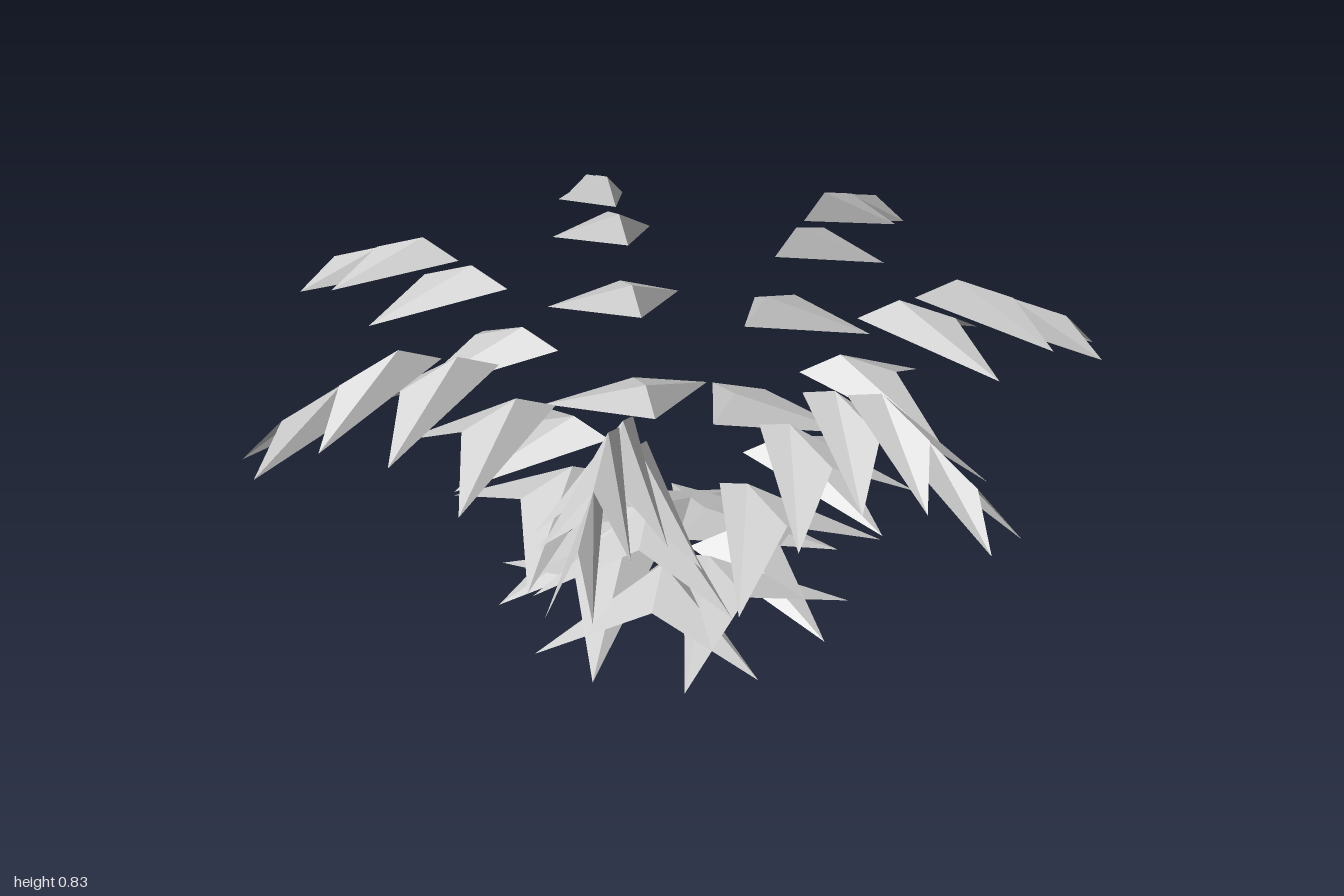
import * as THREE from 'three';

const ARMS = 7;
const CENTRE_X = -0.05;
const RIDGE_HEIGHTS = [0.145, 0.42, 0.64, 0.78, 0.83, 0.78]; // arch of each arm, inside to outside
const FIRST_RADIUS = 0.135;
const RADIUS_STEP = 0.13;
const HALF_WIDTH_STEP = 0.045;

// Folded swallow-tail leaf pointing along +x, with its ridge peak at the origin
function chevronGeometry(halfWidth) {
  const inner = [-0.095, -0.045, 0];
  const peak = [0, 0, 0];
  const notch = [0.135, -0.05, 0];
  const left = [0.22, -0.145, -halfWidth];
  const right = [0.22, -0.145, halfWidth];
  const corners = [
    inner, peak, left, peak, notch, left,
    inner, right, peak, peak, right, notch,
  ];
  const geometry = new THREE.BufferGeometry();
  geometry.setAttribute('position', new THREE.Float32BufferAttribute(corners.flat(), 3));
  geometry.computeVertexNormals();
  return geometry;
}

export function createModel() {
  const material = new THREE.MeshStandardMaterial({
    color: 0xcccccc, flatShading: true, side: THREE.DoubleSide,
  });
  const model = new THREE.Group();
  model.name = 'leafRosette';
  model.position.x = CENTRE_X;

  // Leaves narrow steadily towards the end of the arm
  const leaves = RIDGE_HEIGHTS.map((_, i) =>
    chevronGeometry(HALF_WIDTH_STEP * (RIDGE_HEIGHTS.length - i)));

  for (let a = 0; a < ARMS; a++) {
    const arm = new THREE.Group();
    arm.name = `arm${a + 1}`;
    arm.rotation.y = (a / ARMS) * Math.PI * 2;
    RIDGE_HEIGHTS.forEach((y, i) => {
      const leaf = new THREE.Mesh(leaves[i], material);
      leaf.name = `leaf${i + 1}`;
      leaf.position.set(FIRST_RADIUS + i * RADIUS_STEP, y, 0);
      arm.add(leaf);
    });
    model.add(arm);
  }

  const root = new THREE.Group();
  root.name = 'model';
  root.add(model);
  return root;
}
